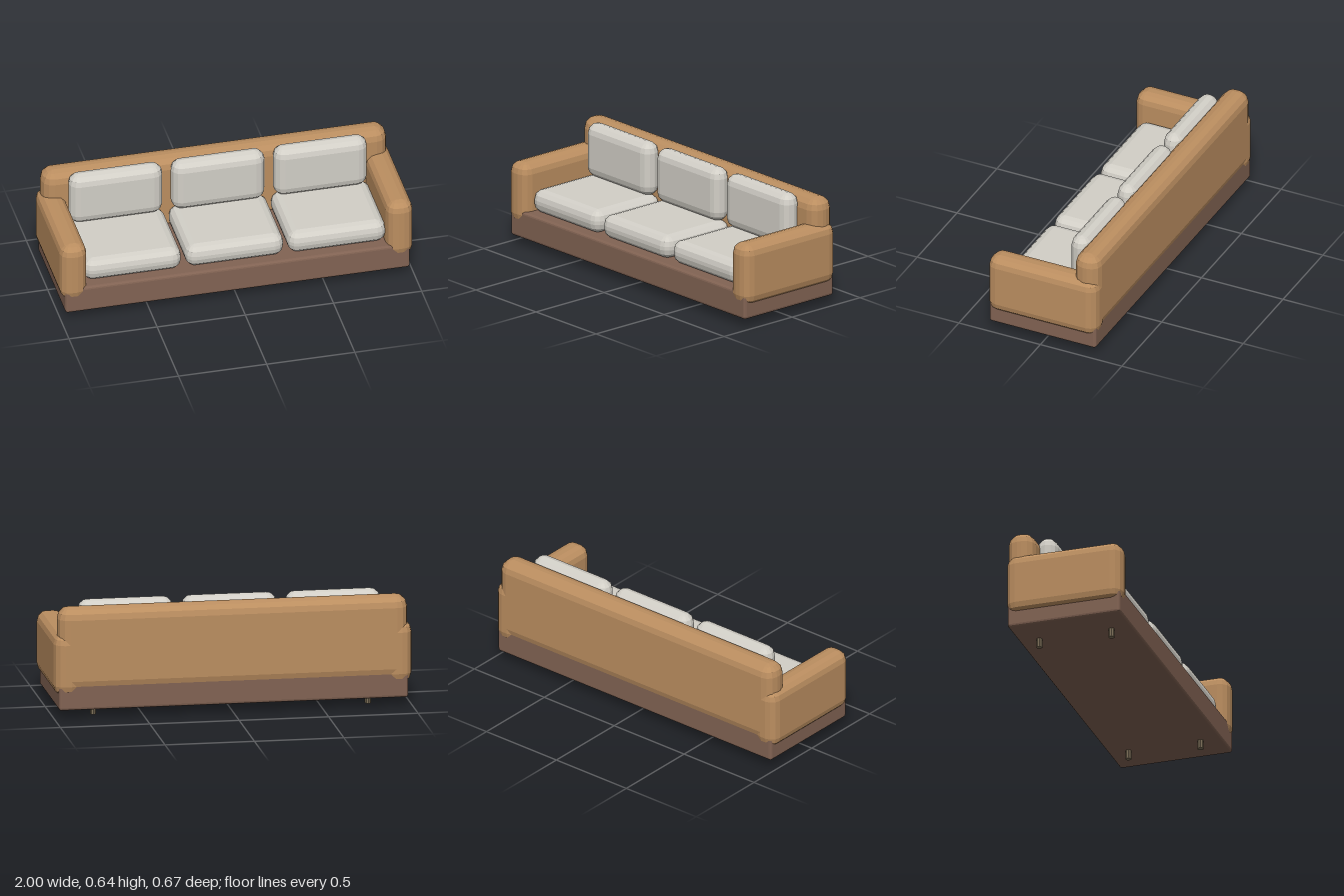
import * as THREE from 'three';

const material = (name, color) => {
  const m = new THREE.MeshStandardMaterial({ color, flatShading: true });
  m.name = name;
  return m;
};

// Box with rounded edges: stacked rounded-rectangle rings, closed by two caps
function roundedBox(w, h, d, r, steps = 3) {
  const rows = steps + 1, ring = 4 * rows;
  const pos = [], index = [];
  for (let i = 0; i < 2 * rows; i++) {
    const upper = i >= rows;
    const tilt = ((upper ? i - rows : i - steps) / steps) * Math.PI / 2;
    const y = (upper ? 1 : -1) * (h / 2 - r) + r * Math.sin(tilt);
    const rr = Math.max(r * Math.cos(tilt), 0);
    for (let c = 0; c < 4; c++) {
      const sx = c === 0 || c === 3 ? 1 : -1;
      const sz = c < 2 ? 1 : -1;
      for (let k = 0; k <= steps; k++) {
        const a = (c + k / steps) * Math.PI / 2;
        pos.push(sx * (w / 2 - r) + rr * Math.cos(a), y, sz * (d / 2 - r) + rr * Math.sin(a));
      }
    }
  }
  const last = 2 * rows - 1;
  for (let i = 0; i < last; i++) {
    for (let j = 0; j < ring; j++) {
      const a = i * ring + j, b = i * ring + (j + 1) % ring;
      index.push(a, a + ring, b, b, a + ring, b + ring);
    }
  }
  // flat caps between the four corner points
  const p = [0, 1, 2, 3].map((c) => c * rows);
  const t = p.map((v) => v + last * ring);
  index.push(p[0], p[1], p[2], p[0], p[2], p[3]);
  index.push(t[0], t[2], t[1], t[0], t[3], t[2]);
  const g = new THREE.BufferGeometry();
  g.setAttribute('position', new THREE.Float32BufferAttribute(pos, 3));
  g.setIndex(index);
  g.computeVertexNormals();
  return g;
}

export function createModel() {
  const sofa = new THREE.Group();
  sofa.name = 'sofa';

  const tan = material('tan leather', 0xbb8e60);
  const brown = material('brown base', 0x826353);
  const cream = material('cream fabric', 0xd2cfc7);
  const metal = material('leg metal', 0x7d7059);

  const add = (name, geometry, mat, x, y, z) => {
    const mesh = new THREE.Mesh(geometry, mat);
    mesh.name = name;
    mesh.position.set(x, y, z);
    sofa.add(mesh);
  };
  // Rounded block given by its centre x, and its y and z ranges
  const block = (name, mat, x, w, [y0, y1], [z0, z1], r) =>
    add(name, roundedBox(w, y1 - y0, z1 - z0, r), mat, x, (y0 + y1) / 2, (z0 + z1) / 2);

  // Frame
  block('base', brown, 0, 1.954, [0.05, 0.205], [-0.327, 0.327], 0.015);
  block('backrest', tan, 0, 1.954, [0.15, 0.624], [-0.335, -0.182], 0.064);

  // Arms and legs
  for (const side of [1, -1]) {
    const label = side > 0 ? 'left' : 'right';
    block(label + 'Arm', tan, side * 0.925, 0.15, [0.127, 0.477], [-0.335, 0.335], 0.058);
    for (const end of [1, -1]) {
      add(label + (end > 0 ? 'FrontLeg' : 'BackLeg'),
        new THREE.CylinderGeometry(0.017, 0.017, 0.06, 10), metal, side * 0.768, 0.03, end * 0.21);
    }
  }

  // Three seat and back cushions
  ['right', 'middle', 'left'].forEach((label, i) => {
    const x = (i - 1) * 0.58;
    block(label + 'SeatCushion', cream, x, 0.556, [0.203, 0.334], [-0.2, 0.285], 0.055);
    block(label + 'BackCushion', cream, x, 0.53, [0.33, 0.638], [-0.21, -0.094], 0.057);
  });

  return sofa;
}
